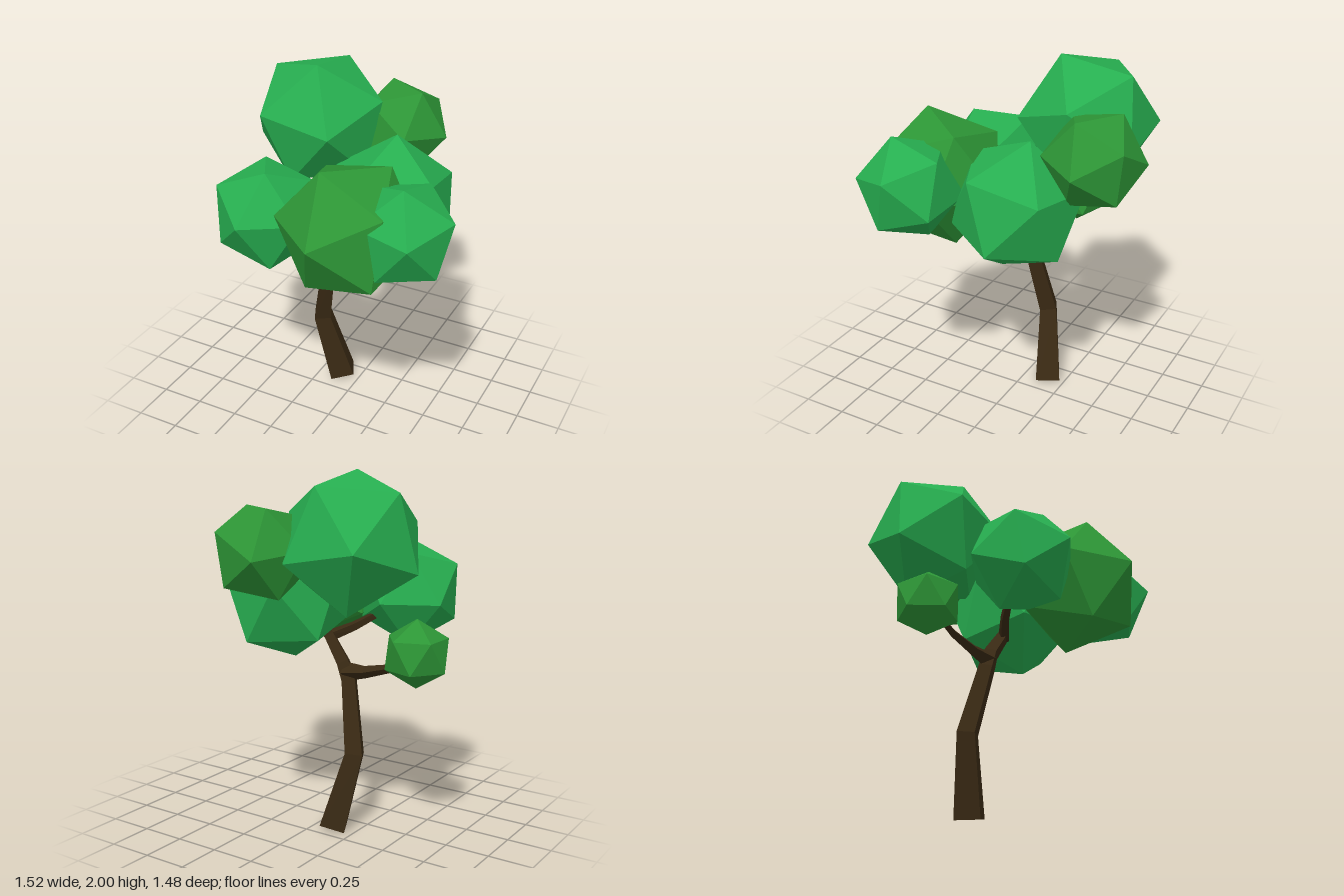
import * as THREE from 'three';

const material = color => new THREE.MeshStandardMaterial({ color, flatShading: true });
const V = p => new THREE.Vector3(p[0], p[1], p[2]);

// Orthonormal frame whose x axis is a, with b in its xy plane
function frame(a, b) {
  const x = a.clone().normalize();
  const z = a.clone().cross(b).normalize();
  return new THREE.Matrix4().makeBasis(x, z.clone().cross(x), z);
}

// Leaf clump: icosahedron with its centre, radius and the positions of two neighbouring corners
function clump(name, mat, centre, radius, cornerA, cornerB) {
  const geo = new THREE.IcosahedronGeometry(radius, 0);
  const pos = geo.attributes.position;
  const c = V(centre);
  const from = frame(new THREE.Vector3().fromBufferAttribute(pos, 0), new THREE.Vector3().fromBufferAttribute(pos, 1));
  const to = frame(V(cornerA).sub(c), V(cornerB).sub(c));
  geo.applyMatrix4(to.multiply(from.transpose()));
  const mesh = new THREE.Mesh(geo, mat);
  mesh.position.copy(c);
  mesh.name = name;
  return mesh;
}

// Four-sided limb lofted through stations [x, y, z, radius]
function limb(name, mat, stations) {
  const pts = stations.map(V);
  const verts = [], index = [], sides = 4, last = pts.length - 1;
  pts.forEach((p, i) => {
    const t = pts[Math.min(i + 1, last)].clone().sub(pts[Math.max(i - 1, 0)]).normalize();
    const u = new THREE.Vector3(-0.33, 0, 0.94);
    u.addScaledVector(t, -u.dot(t)).normalize();
    const v = t.clone().cross(u);
    for (let j = 0; j < sides; j++) {
      const a = j / sides * Math.PI * 2, r = stations[i][3];
      const q = p.clone().addScaledVector(u, r * Math.cos(a)).addScaledVector(v, r * Math.sin(a));
      verts.push(q.x, q.y, q.z);
    }
  });
  for (let i = 0; i < last; i++) {
    for (let j = 0; j < sides; j++) {
      const a = i * sides + j, b = i * sides + (j + 1) % sides;
      index.push(a, b, b + sides, a, b + sides, a + sides);
    }
  }
  const e = last * sides;
  index.push(0, 2, 1, 0, 3, 2, e, e + 1, e + 2, e, e + 2, e + 3);
  const geo = new THREE.BufferGeometry();
  geo.setAttribute('position', new THREE.Float32BufferAttribute(verts, 3));
  geo.setIndex(index);
  const flat = geo.toNonIndexed();
  flat.computeVertexNormals();
  const mesh = new THREE.Mesh(flat, mat);
  mesh.name = name;
  return mesh;
}

export function createModel() {
  const tree = new THREE.Group();
  tree.name = 'tree';
  const bark = material(0x3a2a14);
  const light = material(0x27ae50);
  const dark = material(0x2d9636);

  // Crooked trunk that runs on into the crown
  tree.add(limb('trunk', bark, [
    [-0.115, 0.02, -0.15, 0.1],
    [-0.218, 0.45, -0.095, 0.068],
    [-0.14, 0.84, -0.03, 0.053],
    [-0.1, 0.94, -0.03, 0.047],
    [0, 1.08, -0.02, 0.038],
    [0.12, 1.2, -0.06, 0.03],
  ]));
  // Low side branch and short upper branch
  tree.add(limb('sideBranch', bark, [
    [-0.12, 0.89, -0.03, 0.055],
    [-0.25, 0.905, -0.04, 0.034],
    [-0.41, 0.95, -0.06, 0.024],
    [-0.54, 1.03, -0.08, 0.018],
  ]));
  tree.add(limb('upperBranch', bark, [
    [0.01, 1.07, -0.02, 0.035],
    [-0.11, 1.13, 0.07, 0.028],
    [-0.24, 1.22, 0.2, 0.02],
  ]));

  // Leaf clumps
  tree.add(
    clump('topLeaves', light, [-0.314, 1.641, -0.277], 0.394, [-0.25, 2, -0.13], [-0.61, 1.9, -0.31]),
    clump('frontLeaves', dark, [0.187, 1.368, 0.363], 0.382, [0.15, 1.4, 0.74], [0.1, 1.71, 0.495]),
    clump('frontRightLeaves', light, [-0.315, 1.315, 0.319], 0.308, [-0.322, 1.353, 0.625], [-0.257, 1.597, 0.43]),
    clump('frontLeftLeaves', light, [0.49, 1.415, 0.36], 0.286, [0.75, 1.52, 0.35], [0.53, 1.687, 0.44]),
    clump('middleLeaves', light, [0.212, 1.302, -0.11], 0.376, [0.2, 1.67, -0.188], [0.464, 1.405, -0.37]),
    clump('backLeaves', dark, [0.09, 1.587, -0.495], 0.275, [-0.03, 1.567, -0.74], [0.23, 1.7, -0.7]),
    clump('sideBranchLeaves', dark, [-0.595, 1.061, -0.09], 0.186, [-0.595, 1.247, -0.09], [-0.429, 1.144, -0.09]),
  );
  return tree;
}
